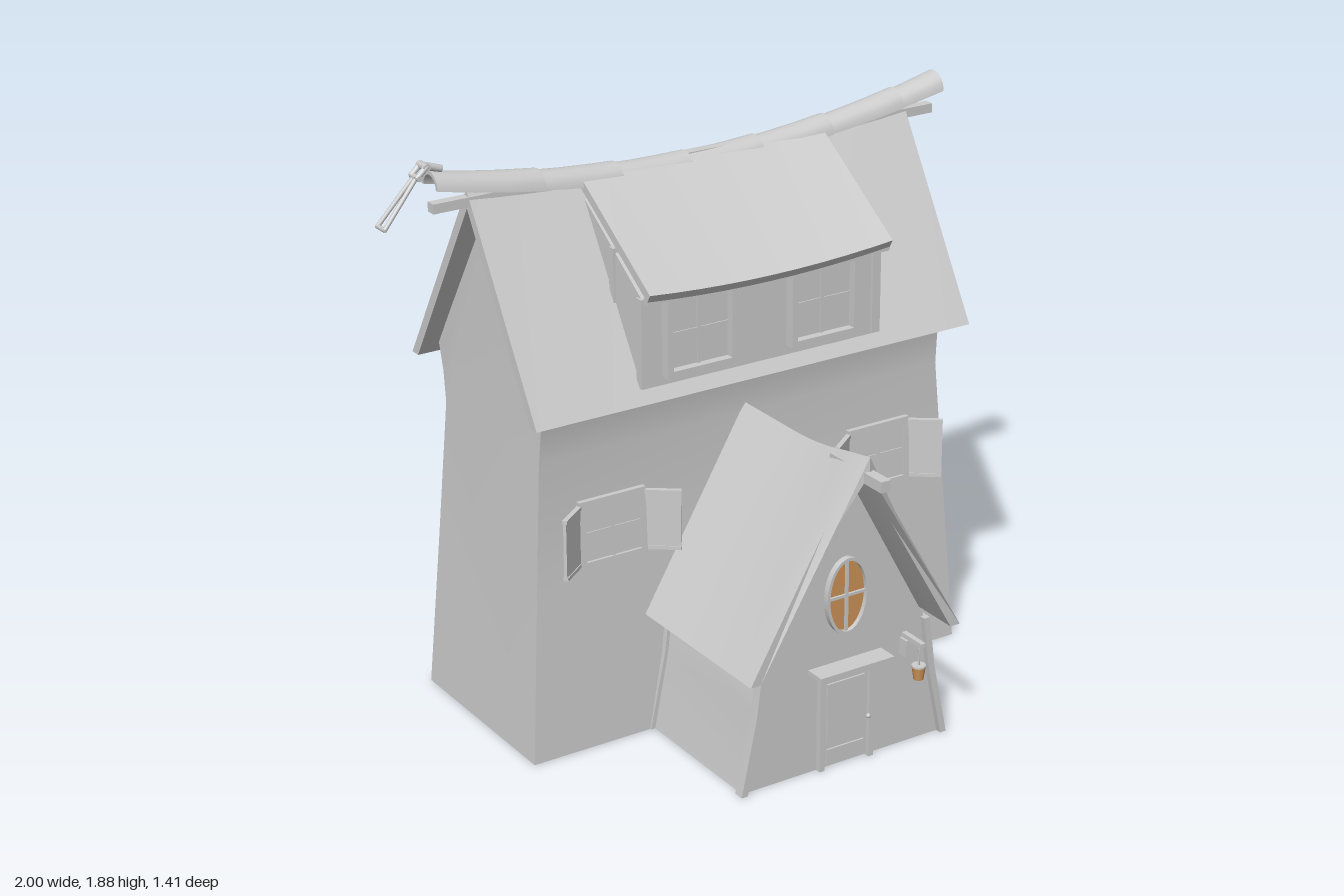
import * as THREE from 'three';
import { toCreasedNormals } from 'three/addons/utils/BufferGeometryUtils.js';

const CX = 0.085; // middle of the house in x
const RZ = -0.315; // ridge line in z

const stone = new THREE.MeshStandardMaterial({ color: 0xcccccc });
stone.name = 'pale grey';
const amber = new THREE.MeshStandardMaterial({ color: 0xd0955a });
amber.name = 'amber glass';

// Closed solid through profiles [a, b, offset along axis] placed at stations.
function loft(axis, stations, profile, crease = 0.5) {
  const pos = [], idx = [];
  const place = {
    x: (a, b, s) => [s, b, a],
    y: (a, b, s) => [a, s, b],
    z: (a, b, s) => [a, b, s],
  }[axis];
  const rings = stations.map(s => profile(s));
  const n = rings[0].length;
  rings.forEach((r, k) => r.forEach(([a, b, o = 0]) => pos.push(...place(a, b, stations[k] + o))));
  for (let k = 0; k < rings.length - 1; k++) {
    for (let i = 0; i < n; i++) {
      const p = k * n + i, q = k * n + (i + 1) % n;
      idx.push(p, q, q + n, p, q + n, p + n);
    }
  }
  const caps = (ring, base, flip) => {
    const c = ring.map(p => new THREE.Vector2(p[0], p[1]));
    const sign = Math.sign(THREE.ShapeUtils.area(c));
    for (const f of THREE.ShapeUtils.triangulateShape(c.slice(), [])) {
      const same = Math.sign(THREE.ShapeUtils.area(f.map(i => c[i]))) === sign;
      const t = same !== flip ? f : [f[0], f[2], f[1]];
      idx.push(...t.map(i => i + base));
    }
  };
  caps(rings[0], 0, true);
  caps(rings[rings.length - 1], (rings.length - 1) * n, false);
  // turn the faces outwards
  let vol = 0;
  const v = i => new THREE.Vector3().fromArray(pos, i * 3);
  for (let i = 0; i < idx.length; i += 3) vol += v(idx[i]).dot(v(idx[i + 1]).cross(v(idx[i + 2])));
  if (vol < 0) idx.reverse();
  const g = new THREE.BufferGeometry();
  g.setAttribute('position', new THREE.Float32BufferAttribute(pos, 3));
  g.setIndex(idx);
  return toCreasedNormals(g, crease);
}

function add(parent, name, geo, mat = stone, p = [0, 0, 0]) {
  const m = new THREE.Mesh(geo, mat);
  m.name = name;
  m.position.set(...p);
  parent.add(m);
  return m;
}
// Box given by its limits
function box(parent, name, x0, x1, y0, y1, z0, z1, mat) {
  return add(parent, name, new THREE.BoxGeometry(x1 - x0, y1 - y0, z1 - z0), mat,
    [(x0 + x1) / 2, (y0 + y1) / 2, (z0 + z1) / 2]);
}
// Rod between two points
function rod(parent, name, a, b, r) {
  const A = new THREE.Vector3(...a), B = new THREE.Vector3(...b), d = B.clone().sub(A);
  const m = add(parent, name, new THREE.CylinderGeometry(r, r, d.length(), 8));
  m.position.copy(A).add(B).multiplyScalar(0.5);
  m.quaternion.setFromUnitVectors(new THREE.Vector3(0, 1, 0), d.normalize());
  return m;
}
const range = (a, b, n) => Array.from({ length: n + 1 }, (_, i) => a + (b - a) * i / n);

// Framed window with a cross bar, standing on its local z = 0
function makeWindow(parent, name, w, h, depth, mat, p, ry, tilt) {
  const g = new THREE.Group();
  g.name = name;
  g.position.set(...p);
  g.rotation.set(tilt, ry, 0, 'YXZ');
  parent.add(g);
  const f = 0.02, W = w / 2, H = h / 2;
  for (const s of [-1, 1]) {
    add(g, 'frameSide', new THREE.BoxGeometry(f, h, depth), stone, [s * (W - f / 2), 0, depth / 2]);
    add(g, 'frameRail', new THREE.BoxGeometry(w - 2 * f, f, depth), stone, [0, s * (H - f / 2), depth / 2]);
  }
  add(g, 'pane', new THREE.BoxGeometry(w - 2 * f, h - 2 * f, 0.008), mat, [0, 0, 0.004]);
  add(g, 'barUpright', new THREE.BoxGeometry(0.012, h - 2 * f, 0.008), stone, [0, 0, 0.009]);
  add(g, 'barAcross', new THREE.BoxGeometry(w - 2 * f, 0.01, 0.008), stone, [0, 0, 0.008]);
  return g;
}

const sag = x => ((x - CX) / 0.915) ** 2;
const ridgeY = x => 1.73 + 0.055 * sag(x);

export function createModel() {
  const house = new THREE.Group();
  house.name = 'cottage';

  // Main body, tapering upwards and flaring under the eaves
  const wall = [[0.015, 0], [-0.01, 0.55], [-0.03, 0.98], [-0.02, 1.08], [0, 1.17], [RZ, 1.69],
    [-0.645, 1.17], [-0.622, 1.08], [-0.605, 0.98], [-0.625, 0.55], [-0.655, 0]];
  add(house, 'mainWalls', loft('x', [CX - 0.805, CX + 0.805], s =>
    wall.map(([z, y]) => [z, y, Math.sign(CX - s) * 0.07 * Math.min(y, 1.03)])));

  // Sagging main roof
  add(house, 'mainRoof', loft('x', range(-0.71, 0.88, 14), x => [[0.065, 1.13], [RZ, ridgeY(x)],
    [-0.705, 1.13], [-0.668, 1.13], [RZ, ridgeY(x) - 0.06], [0.028, 1.13]]));
  box(house, 'ridgeBeam', -0.83, 0.985, 1.72, 1.752, RZ - 0.017, RZ + 0.017).scale.set(1, 0.95, 1);

  // Overlapping ridge tiles
  const cuts = [-0.83, -0.48, -0.21, 0.04, 0.3, 0.56, 0.83, 1.0];
  const arc = range(0, Math.PI, 8);
  for (let i = 0; i < 7; i++) {
    const a = cuts[i], b = cuts[i + 1] + (i < 6 ? 0.012 : 0);
    add(house, 'ridgeTile', loft('x', range(a, b, 3), x => {
      const R = 0.05 + 0.006 * (x - a) / (b - a), y = 1.7 + 0.1 * sag(x);
      const ring = r => arc.map(t => [RZ + r * Math.cos(t), y + r * Math.sin(t)]);
      return [...ring(R), ...ring(R - 0.012).reverse()];
    }));
  }

  // Dormer
  const dormer = new THREE.Group();
  dormer.name = 'dormer';
  house.add(dormer);
  add(dormer, 'dormerWalls', loft('x', [-0.33, 0.53], () =>
    [[0.04, 1.17], [0.04, 1.46], [-0.29, 1.69], [-0.29, 1.45]]));
  add(dormer, 'dormerRoof', loft('x', range(-0.34, 0.54, 10), x => {
    const y = 1.47 + 0.022 * ((x - 0.1) / 0.44) ** 2;
    return [[0.105, y], [-0.29, ridgeY(x) + 0.015], [-0.29, ridgeY(x) - 0.02], [0.09, y - 0.025]];
  }));
  box(dormer, 'eaveBoard', -0.34, 0.54, 1.455, 1.475, 0.07, 0.09);
  for (const x of [-0.337, 0.507]) {
    box(dormer, 'cornerPost', x, x + 0.03, 1.175, 1.46, 0.02, 0.05);
    box(dormer, 'sideStud', x, x + 0.03, 1.4, 1.575, -0.13, -0.105);
  }
  box(dormer, 'centrePanel', 0.0, 0.18, 1.18, 1.46, 0.035, 0.052);
  for (const x of [-0.135, 0.315])
    makeWindow(dormer, 'dormerWindow', 0.25, 0.26, 0.035, stone, [x, 1.33, 0.04], 0, 0);

  // Front windows with open shutters
  for (const s of [-1, 1]) {
    const x = CX + s * 0.498;
    makeWindow(house, 'frontWindow', 0.235, 0.22, 0.018, stone, [x, 0.72, -0.017], 0, -0.045);
    for (const t of [-1, 1]) {
      const sh = new THREE.Group();
      sh.name = 'shutter';
      sh.position.set(x + t * 0.162, 0.72, 0.026);
      sh.rotation.y = -t * 0.64;
      house.add(sh);
      add(sh, 'shutterBoard', new THREE.BoxGeometry(0.112, 0.2, 0.01));
      for (const k of [-1, 1])
        add(sh, 'shutterBatten', new THREE.BoxGeometry(0.112, 0.012, 0.016), stone, [0, k * 0.094, 0]);
    }
  }

  // Back windows
  for (const x of [0.465, -0.295])
    for (const [y, z] of [[0.85, -0.611], [0.33, -0.637]])
      makeWindow(house, 'backWindow', 0.25, 0.26, 0.02, amber, [x, y, z], Math.PI, -0.05);

  // Porch
  const porch = new THREE.Group();
  porch.name = 'porch';
  house.add(porch);
  add(porch, 'porchWalls', loft('z', [-0.1, 0.515], () =>
    [[-0.285, 0], [0.455, 0], [0.405, 0.25], [0.385, 0.42], [CX, 0.97], [-0.215, 0.42], [-0.235, 0.25]]));
  const porchRidge = z => 1.012 + 0.055 * Math.max(0, (z - 0.25) / 0.335) ** 2;
  add(porch, 'porchRoof', loft('z', range(-0.04, 0.585, 8), z => {
    const top = porchRidge(z), o = z > 0.58 ? 0.045 : 0;
    const line = (half, y1) => [[CX - half, 0.397], [CX - half * 0.33, 0.397 + (y1 - 0.397) * 0.67], [CX, y1, o],
      [CX + half * 0.33, 0.397 + (y1 - 0.397) * 0.67], [CX + half, 0.397]];
    return [...line(0.387, top), ...line(0.352, top - 0.055).reverse()];
  }));
  box(porch, 'porchBeam', CX - 0.017, CX + 0.017, 0.985, 1.02, 0.45, 0.71);
  // Leaning corner posts
  for (const s of [-1, 1])
    for (const [z0, z1] of [[0.5, 0.535], [-0.015, 0.02]])
      add(porch, 'cornerPost', loft('y', [0, 0.25, 0.42], y => {
        const x = CX + s * (y < 0.1 ? 0.385 : y < 0.3 ? 0.332 : 0.31), i = x - s * 0.022;
        return [[x, z0], [x, z1], [i, z1], [i, z0]];
      }));

  // Door
  const door = new THREE.Group();
  door.name = 'door';
  porch.add(door);
  box(door, 'doorLeaf', 0.0, 0.175, 0.005, 0.305, 0.505, 0.522);
  for (const x of [-0.013, 0.17]) box(door, 'doorJamb', x, x + 0.018, 0, 0.32, 0.505, 0.535);
  box(door, 'doorHead', 0.005, 0.17, 0.302, 0.32, 0.505, 0.535);
  box(door, 'upperPanel', 0.018, 0.157, 0.085, 0.29, 0.515, 0.528);
  box(door, 'lowerPanel', 0.018, 0.157, 0.02, 0.065, 0.515, 0.528);
  box(door, 'lintel', -0.047, 0.225, 0.34, 0.354, 0.5, 0.585);
  add(door, 'knob', new THREE.SphereGeometry(0.008, 10, 8), stone, [0.166, 0.145, 0.537]);

  // Oval window
  const oval = new THREE.Group();
  oval.name = 'ovalWindow';
  oval.position.set(CX, 0.575, 0.515);
  porch.add(oval);
  const ring = new THREE.Shape().absellipse(0, 0, 0.077, 0.127, 0, Math.PI * 2);
  ring.holes.push(new THREE.Path().absellipse(0, 0, 0.067, 0.117, 0, Math.PI * 2));
  add(oval, 'ovalFrame', new THREE.ExtrudeGeometry(ring, { depth: 0.02, bevelEnabled: false, curveSegments: 32 }));
  const pane = new THREE.Shape().absellipse(0, 0, 0.069, 0.119, 0, Math.PI * 2);
  add(oval, 'ovalPane', new THREE.ShapeGeometry(pane, 32), amber, [0, 0, 0.005]);
  add(oval, 'ovalUpright', new THREE.BoxGeometry(0.009, 0.236, 0.01), stone, [0, 0, 0.008]);
  add(oval, 'ovalCrossbar', new THREE.BoxGeometry(0.136, 0.009, 0.01), stone, [0, 0, 0.008]);

  // Hanging lantern
  box(porch, 'lanternBlock', 0.295, 0.325, 0.315, 0.37, 0.51, 0.55);
  box(porch, 'lanternArm', 0.303, 0.32, 0.37, 0.385, 0.51, 0.615);
  rod(porch, 'lanternCord', [0.311, 0.375, 0.595], [0.311, 0.3, 0.595], 0.003);
  add(porch, 'lantern', new THREE.CylinderGeometry(0.022, 0.016, 0.042, 12), amber, [0.311, 0.278, 0.595]);
  add(porch, 'lanternCap', new THREE.CylinderGeometry(0.023, 0.023, 0.006, 12), stone, [0.311, 0.302, 0.595]);

  // Hanging loop at the end of the ridge
  const tip = new THREE.Group();
  tip.name = 'ridgeLoop';
  house.add(tip);
  for (const s of [-1, 1]) {
    rod(tip, 'loopSide', [-0.993, 1.705, RZ + s * 0.022], [-0.88, 1.835, RZ + s * 0.008], 0.007);
    rod(tip, 'clampSide', [-0.88, 1.84, RZ + s * 0.018], [-0.845, 1.872, RZ + s * 0.018], 0.009);
  }
  rod(tip, 'loopEnd', [-0.993, 1.705, RZ - 0.026], [-0.993, 1.705, RZ + 0.026], 0.007);
  rod(tip, 'clampPin', [-0.875, 1.84, RZ - 0.027], [-0.875, 1.84, RZ + 0.027], 0.009);
  rod(tip, 'clampBar', [-0.848, 1.868, RZ - 0.025], [-0.848, 1.868, RZ + 0.025], 0.012);
  rod(tip, 'clampStem', [-0.85, 1.87, RZ], [-0.79, 1.85, RZ], 0.012);
  return house;
}
